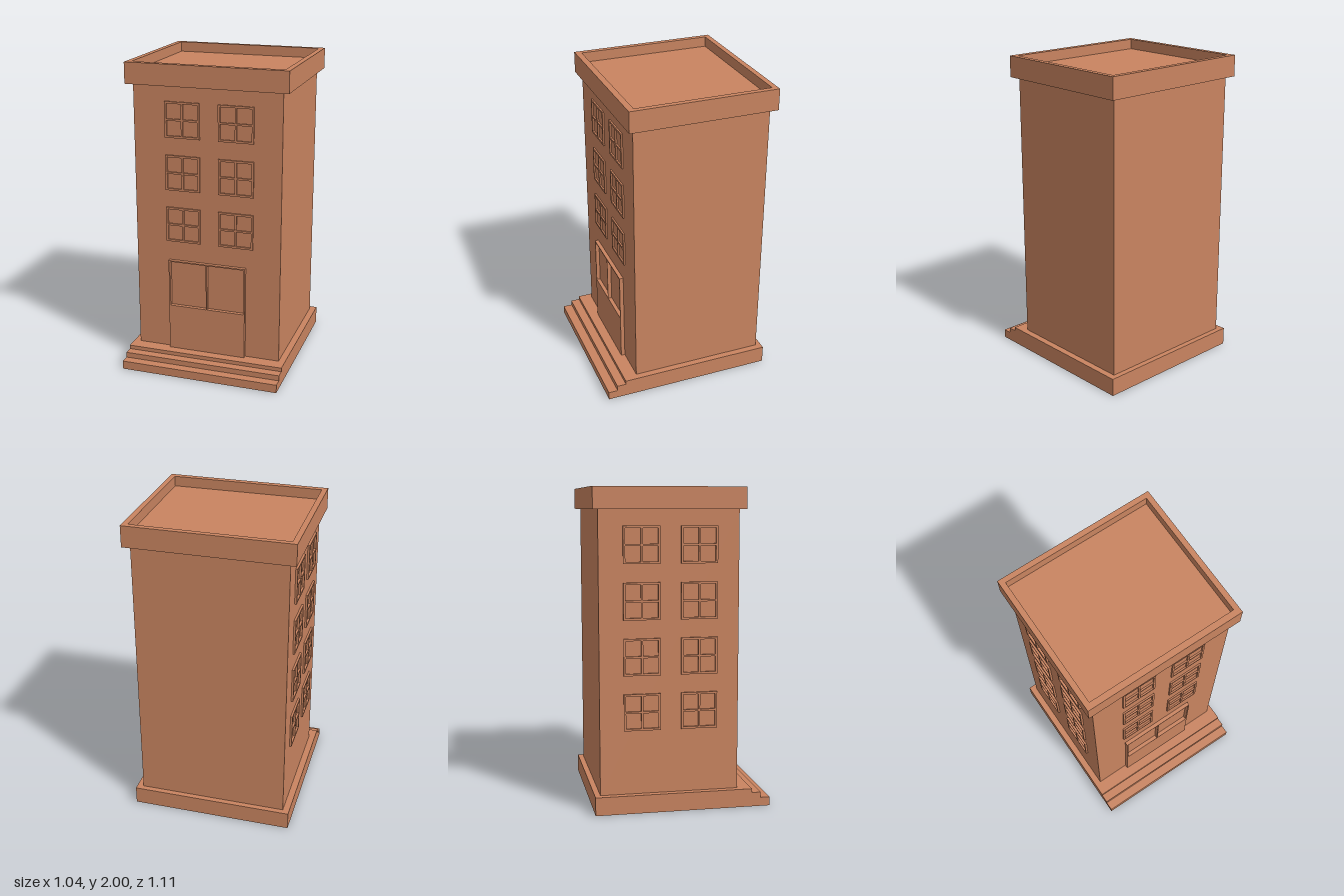
import * as THREE from 'three';

const brick = new THREE.MeshStandardMaterial({ color: 0xc98460 });
brick.name = 'terracotta';

function part(name, geometry, x = 0, y = 0, z = 0) {
  const mesh = new THREE.Mesh(geometry, brick);
  mesh.name = name;
  mesh.position.set(x, y, z);
  return mesh;
}

function rect(target, x0, x1, y0, y1) {
  target.moveTo(x0, y0);
  target.lineTo(x1, y0);
  target.lineTo(x1, y1);
  target.lineTo(x0, y1);
  target.closePath();
  return target;
}

// Flat plate in XY with rectangular openings, extruded towards +z
function plate(outer, holes, depth) {
  const shape = rect(new THREE.Shape(), ...outer);
  shape.holes = holes.map((h) => rect(new THREE.Path(), ...h));
  return new THREE.ExtrudeGeometry(shape, { depth, bevelEnabled: false });
}

// Solid block given by its limits
function block(name, x0, x1, y0, y1, z0, z1) {
  return part(name, new THREE.BoxGeometry(x1 - x0, y1 - y0, z1 - z0),
    (x0 + x1) / 2, (y0 + y1) / 2, (z0 + z1) / 2);
}

// Horizontal rectangular ring between two heights
function ring(name, halfX, zBack, zFront, y0, y1) {
  const geometry = plate([-halfX, halfX, -zFront, -zBack],
    [[-0.487, 0.487, -0.345, 0.52]], y1 - y0);
  geometry.rotateX(-Math.PI / 2);
  return part(name, geometry, 0, y0, 0);
}

// Four-pane window frame, centred on its origin
function windowGeometry(depth) {
  const half = 0.114, inner = 0.101, bar = 0.006;
  const holes = [];
  for (const [a, b] of [[-inner, -bar], [bar, inner]]) {
    for (const [c, d] of [[-inner, -bar], [bar, inner]]) holes.push([a, b, c, d]);
  }
  return plate([-half, half, -half, half], holes, depth);
}

export function createModel() {
  const model = new THREE.Group();
  model.name = 'building';
  const W = 0.522, BACK = -0.555;

  // Stepped plinth, hollow underneath
  model.add(ring('lowerStep', W, BACK, 0.555, 0, 0.055));
  model.add(block('middleStep', -W, W, 0.055, 0.09, BACK, 0.495));
  model.add(block('upperStep', -W, W, 0.09, 0.115, BACK, 0.437));

  // Main walls
  model.add(block('walls', -0.48, 0.48, 0.115, 1.865, -0.52, 0.35));

  // Flat roof with parapet
  model.add(block('roofSlab', -W, W, 1.865, 1.935, BACK, 0.385));
  model.add(ring('parapet', W, BACK, 0.385, 1.935, 2));

  // Double entrance door with two upper openings
  model.add(part('door', plate([-0.258, 0.255, 0.115, 0.73],
    [[-0.248, -0.005, 0.418, 0.722], [0.002, 0.245, 0.418, 0.722]], 0.025), 0, 0, 0.35));

  // Windows: three rows on the front, four on the -x side
  const frontWindow = windowGeometry(0.01);
  const sideWindow = windowGeometry(0.013);
  [0.63, 0.972, 1.313, 1.653].forEach((y, row) => {
    if (row > 0) {
      for (const x of [-0.16, 0.188]) model.add(part('frontWindow', frontWindow, x, y, 0.35));
    }
    for (const z of [-0.257, 0.1]) {
      const w = part('sideWindow', sideWindow, -0.48, y, z);
      w.rotation.y = -Math.PI / 2;
      model.add(w);
    }
  });
  return model;
}
